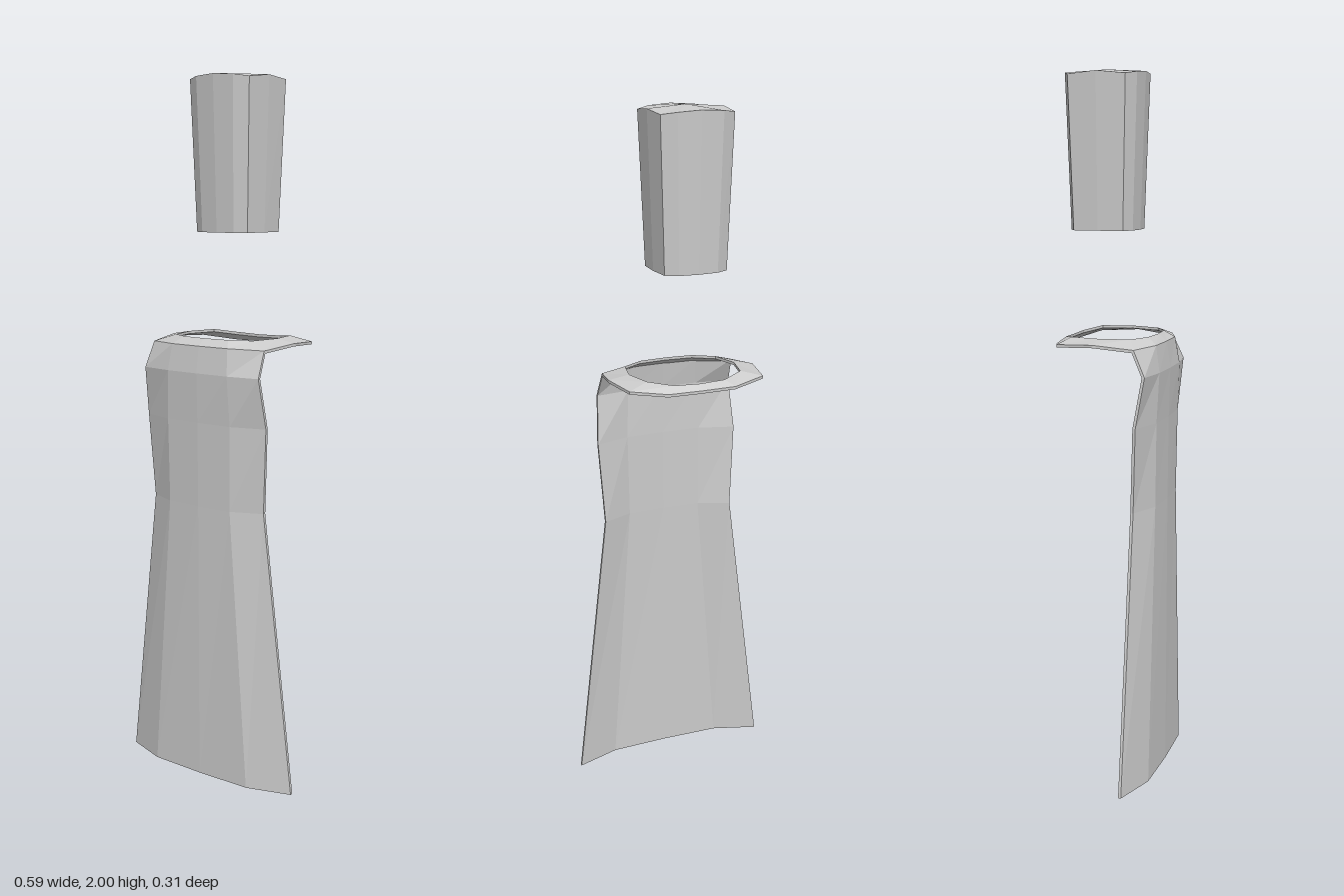
import * as THREE from 'three';

const material = new THREE.MeshStandardMaterial({ color: 0xcccccc, flatShading: true });

// Skins rows of [x, y, z] points; each face looks along (column step) x (row step).
function skin(out, rows, closed) {
  const tri = (a, b, c) => {
    const [A, B, C] = [a, b, c].map((p) => new THREE.Vector3(...p));
    if (B.sub(A).cross(C.sub(A)).length() > 1e-9) out.push(...a, ...b, ...c);
  };
  for (let r = 0; r + 1 < rows.length; r++) {
    const n = rows[r].length;
    for (let c = 0; c < (closed ? n : n - 1); c++) {
      const d = (c + 1) % n;
      tri(rows[r][c], rows[r][d], rows[r + 1][d]);
      tri(rows[r][c], rows[r + 1][d], rows[r + 1][c]);
    }
  }
}

function makeMesh(name, positions) {
  const geometry = new THREE.BufferGeometry();
  geometry.setAttribute('position', new THREE.Float32BufferAttribute(positions, 3));
  geometry.computeVertexNormals();
  const mesh = new THREE.Mesh(geometry, material);
  mesh.name = name;
  return mesh;
}

// Thin sheet: the given surface, a shifted copy behind it, and walls round the border.
function sheet(name, rows, shift, closed) {
  const out = [];
  const back = rows.map((row) => row.map((p) => p.map((v, i) => v + shift[i])));
  const last = rows.length - 1;
  skin(out, rows, closed);
  skin(out, [...back].reverse(), closed);
  skin(out, [back[0], rows[0]], closed);
  skin(out, [rows[last], back[last]], closed);
  if (!closed) {
    const column = (grid, c) => grid.map((row) => row[c]);
    const end = rows[0].length - 1;
    skin(out, [column(rows, 0), column(back, 0)], false);
    skin(out, [column(back, end), column(rows, end)], false);
  }
  return makeMesh(name, out);
}

// Mirrors half a row (centre point first) into a full row from -x to +x.
const mirrorRow = (half) => [
  ...half.slice(1).reverse().map(([x, y, z]) => [-x, y, z]),
  ...half,
];

// Mirrors half a loop (front centre to back centre) into a closed loop.
const mirrorLoop = (half) => [
  ...half,
  ...half.slice(1, -1).reverse().map(([x, y, z]) => [-x, y, z]),
];

// Tall cap: tapering rounded-square block with a domed top and a recess below
function createCap() {
  const z0 = -0.03;
  const outline = mirrorLoop([
    [0, 1.994, 0.109], [0.065, 1.99, 0.103], [0.105, 1.984, 0.082], [0.11, 1.992, 0],
    [0.105, 1.984, -0.082], [0.065, 1.99, -0.103], [0, 1.994, -0.109],
  ]);
  const level = (y, s) => outline.map(([x, , z]) => [x * s, y, z0 + z * s]);
  const rim = outline.map(([x, y, z]) => [x, y, z0 + z]);
  const out = [];
  skin(out, [level(1.615, 0), level(1.615, 0.66), level(1.565, 0.66),
    level(1.565, 0.865), rim, level(2, 0)], true);
  return makeMesh('cap', out);
}

// Flat neck ring, steeper at the front and drooping at the back
function createCollar() {
  const outer = mirrorLoop([
    [0, 1.255, 0.143], [0.1, 1.255, 0.14], [0.2, 1.253, 0.105], [0.22, 1.265, -0.005],
    [0.2, 1.26, -0.115], [0.1, 1.25, -0.15], [0, 1.25, -0.153],
  ]);
  const inner = mirrorLoop([
    [0, 1.275, 0.118], [0.08, 1.275, 0.112], [0.14, 1.274, 0.078], [0.16, 1.275, -0.007],
    [0.14, 1.275, -0.092], [0.075, 1.267, -0.13], [0, 1.265, -0.134],
  ]);
  return sheet('collar', [outer, inner], [0, -0.008, 0], true);
}

// Flared front panel hanging from the collar
function createPanel() {
  const rows = [
    [[0, 0, 0.147], [0.17, 0, 0.143], [0.297, 0, 0.1]],
    [[0, 0.8, 0.148], [0.11, 0.8, 0.143], [0.2, 0.8, 0.105]],
    [[0, 1.04, 0.15], [0.113, 1.04, 0.146], [0.215, 1.04, 0.115]],
    [[0, 1.18, 0.154], [0.107, 1.18, 0.152], [0.206, 1.18, 0.138]],
    [[0, 1.255, 0.143], [0.1, 1.255, 0.14], [0.2, 1.253, 0.105]],
  ].map(mirrorRow);
  return sheet('frontPanel', rows, [0, 0, -0.008], false);
}

export function createModel() {
  const group = new THREE.Group();
  group.name = 'capAndTabard';
  group.add(createCap(), createCollar(), createPanel());
  return group;
}
